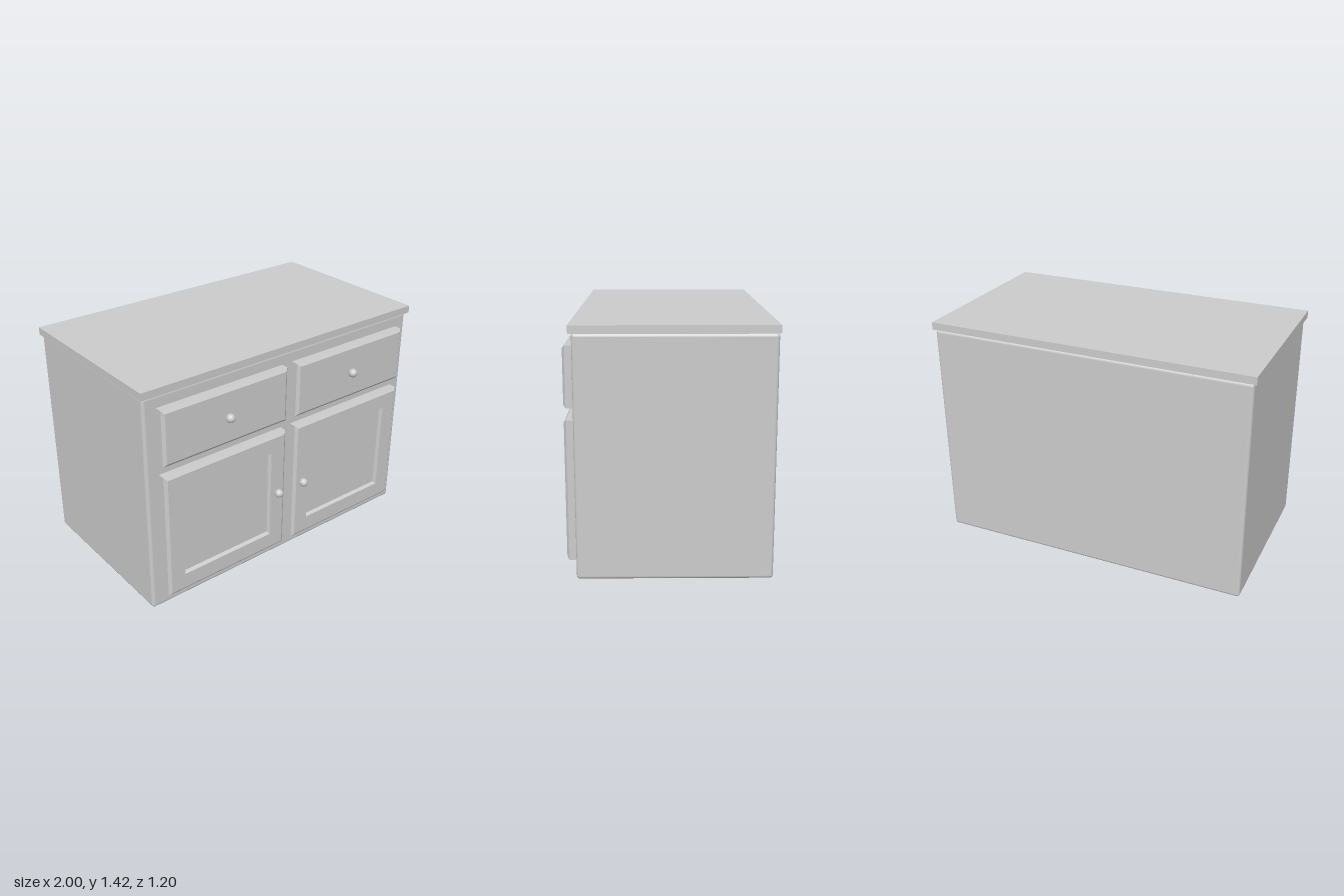
import * as THREE from 'three';
import { RoundedBoxGeometry } from 'three/addons/geometries/RoundedBoxGeometry.js';

const material = new THREE.MeshStandardMaterial({ color: 0xcccccc });

function addMesh(parent, name, geometry, x = 0, y = 0, z = 0) {
  const mesh = new THREE.Mesh(geometry, material);
  mesh.name = name;
  mesh.position.set(x, y, z);
  parent.add(mesh);
  return mesh;
}

// Stack of rectangular rings, each [inset, z], closed at both ends, with hard edges
function panelGeometry(width, height, rings) {
  const corners = rings.map(([inset, z]) => {
    const a = width / 2 - inset, b = height / 2 - inset;
    return [[-a, -b, z], [a, -b, z], [a, b, z], [-a, b, z]];
  });
  const positions = [];
  const quad = (a, b, c, d) => positions.push(...a, ...b, ...c, ...a, ...c, ...d);
  for (let i = 0; i < corners.length - 1; i++) {
    for (let k = 0; k < 4; k++) {
      const n = (k + 1) % 4;
      quad(corners[i][k], corners[i][n], corners[i + 1][n], corners[i + 1][k]);
    }
  }
  const back = corners[0], front = corners[corners.length - 1];
  quad(front[0], front[1], front[2], front[3]);
  quad(back[3], back[2], back[1], back[0]);
  const geometry = new THREE.BufferGeometry();
  geometry.setAttribute('position', new THREE.Float32BufferAttribute(positions, 3));
  geometry.computeVertexNormals();
  return geometry;
}

export function createModel() {
  const cabinet = new THREE.Group();
  cabinet.name = 'cabinet';

  // Carcass with softened edges and overhanging worktop
  addMesh(cabinet, 'body', new RoundedBoxGeometry(1.97, 1.372, 1.092, 3, 0.02), 0, 0.686, -0.05);
  addMesh(cabinet, 'worktop', new THREE.BoxGeometry(2, 0.045, 1.112), 0, 1.394, -0.044);

  // Fronts: bevelled slabs; the doors also have a recessed centre
  const slab = [[0, 0.48], [0, 0.54], [0.018, 0.554]];
  const recess = [[0.114, 0.554], [0.125, 0.534]];
  const drawerFront = panelGeometry(0.866, 0.342, slab);
  const doorFront = panelGeometry(0.866, 0.807, [...slab, ...recess]);
  const knob = new THREE.SphereGeometry(0.027, 24, 16);

  for (const [side, s] of [['left', 1], ['right', -1]]) {
    const drawer = new THREE.Group();
    drawer.name = side + 'Drawer';
    addMesh(drawer, side + 'DrawerFront', drawerFront, s * 0.47, 1.126, 0);
    addMesh(drawer, side + 'DrawerKnob', knob, s * 0.47, 1.126, 0.573);

    const door = new THREE.Group();
    door.name = side + 'Door';
    addMesh(door, side + 'DoorFront', doorFront, s * 0.47, 0.486, 0);
    addMesh(door, side + 'DoorKnob', knob, s * 0.1, 0.486, 0.573);

    cabinet.add(drawer, door);
  }
  return cabinet;
}
